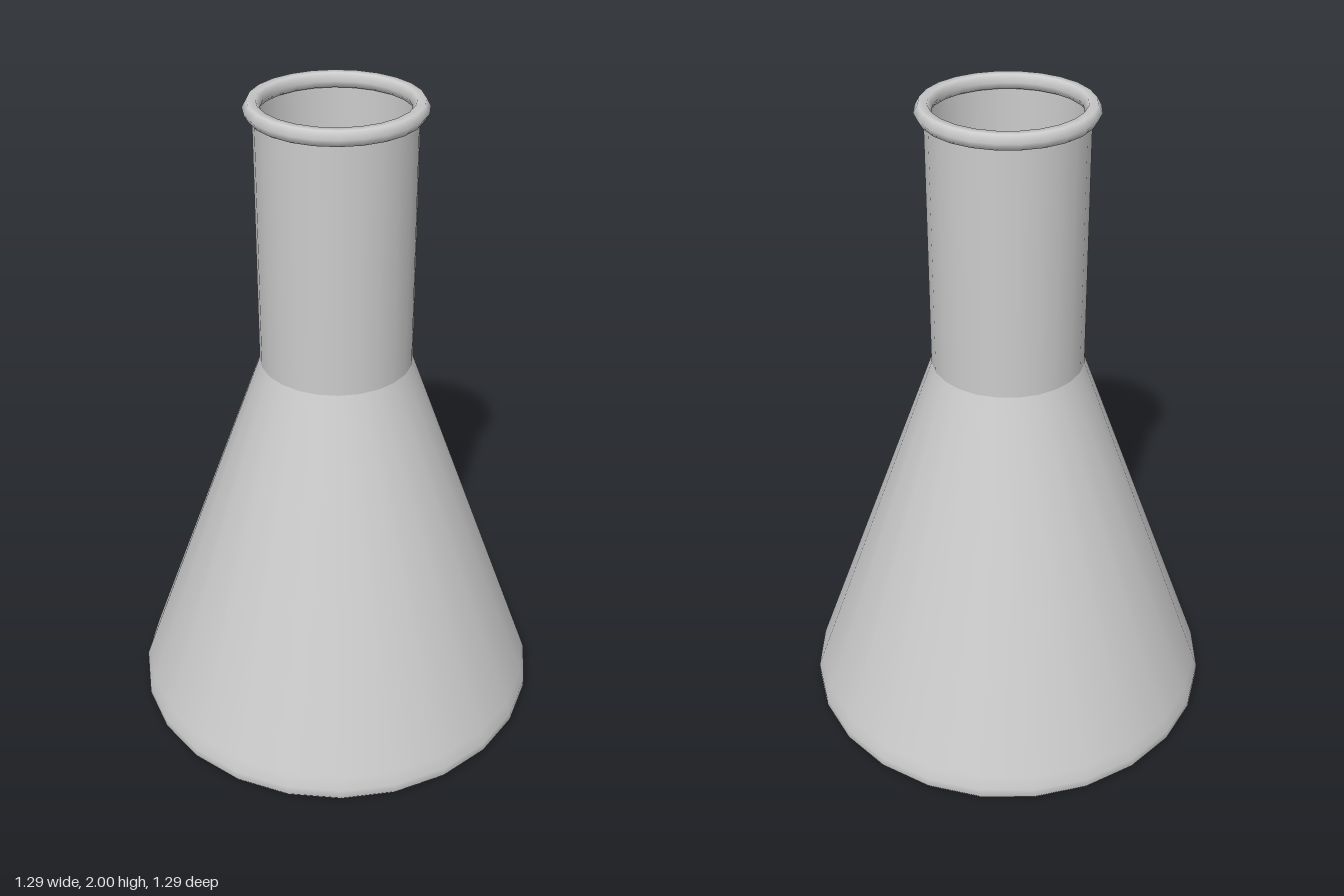
import * as THREE from 'three';

const SIDES = 24;

export function createModel() {
  const group = new THREE.Group();
  const glass = new THREE.MeshStandardMaterial({ color: 0xcccccc, side: THREE.DoubleSide });

  const add = (name, geometry) => {
    const mesh = new THREE.Mesh(geometry, glass);
    mesh.name = name;
    group.add(mesh);
    return mesh;
  };
  // Thin turned wall through [radius, height] points, from bottom to top
  const turned = (name, points) =>
    add(name, new THREE.LatheGeometry(points.map(([r, y]) => new THREE.Vector2(r, y)), SIDES));

  // Flat floor, separate so its edge stays sharp
  turned('floor', [[0, 0], [0.637, 0]]);

  // Conical body with a small rounded foot
  turned('body', [[0.637, 0], [0.645, 0.012], [0.645, 0.04], [0.63, 0.082], [0.23, 1.2]]);

  // Straight neck, open at the top
  turned('neck', [[0.23, 1.2], [0.23, 1.98]]);

  // Rolled lip around the mouth
  const lip = add('lip', new THREE.TorusGeometry(0.232, 0.025, 6, SIDES));
  lip.rotation.x = Math.PI / 2;
  lip.position.y = 1.978;

  return group;
}
